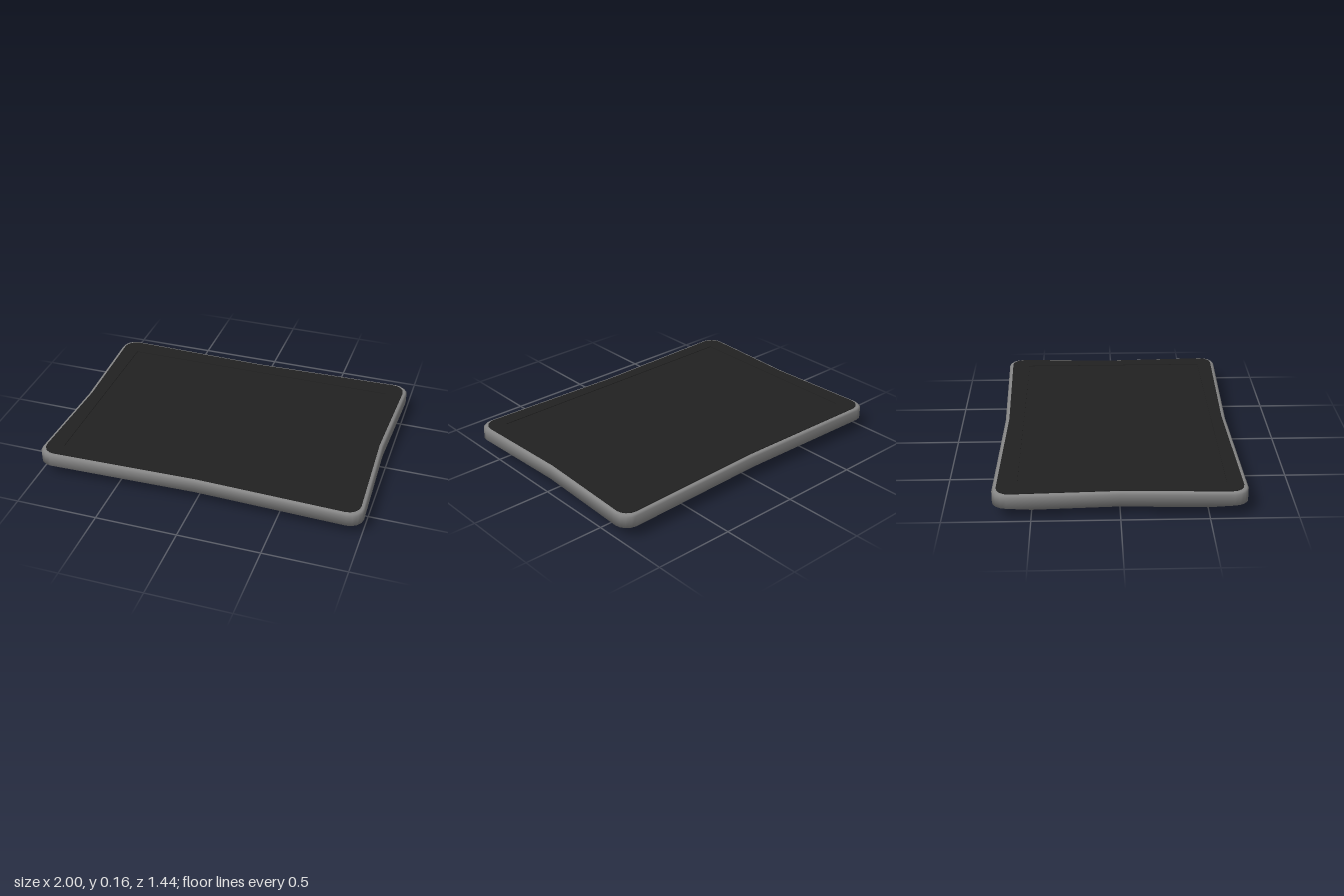
import * as THREE from 'three';

const HX = 1, HZ = 0.718;

// Rounded rectangle whose four sides pinch inward at the middle, as [x, z] points
function outline(hx, hz, r, pinch) {
  const pts = [];
  const signs = [[1, 1], [-1, 1], [-1, -1], [1, -1]];
  signs.forEach(([sx, sz], q) => {
    for (let i = 0; i <= 4; i++) {
      const a = (q + i / 4) * Math.PI / 2;
      pts.push([sx * (hx - r) + r * Math.cos(a), sz * (hz - r) + r * Math.sin(a)]);
    }
    // Middle of the side that follows this corner
    const mids = [[0, hz - pinch], [-hx + pinch, 0], [0, -hz + pinch], [hx - pinch, 0]];
    pts.push(mids[q]);
  });
  return pts;
}

// Smooth skin through stacked outlines, closed underneath
function shellGeometry(rings) {
  const n = rings[0].pts.length, pos = [], index = [];
  for (const { y, pts } of rings) for (const [x, z] of pts) pos.push(x, y, z);
  for (let k = 0; k < rings.length - 1; k++) {
    for (let i = 0; i < n; i++) {
      const a = k * n + i, b = k * n + (i + 1) % n;
      index.push(a, a + n, b, b, a + n, b + n);
    }
  }
  const centre = pos.length / 3;
  pos.push(0, rings[0].y, 0);
  for (let i = 0; i < n; i++) index.push(centre, i, (i + 1) % n);
  const g = new THREE.BufferGeometry();
  g.setAttribute('position', new THREE.Float32BufferAttribute(pos, 3));
  g.setIndex(index);
  g.computeVertexNormals();
  return g;
}

export function createModel() {
  const group = new THREE.Group();
  const material = (name, color) => {
    const m = new THREE.MeshStandardMaterial({ color });
    m.name = name;
    return m;
  };
  const silver = material('silver casing', 0x858585);
  const black = material('black glass', 0x212121);
  const lensBlack = material('lens black', 0x0c0c0c);
  const add = (name, geometry, mat) => {
    const mesh = new THREE.Mesh(geometry, mat);
    mesh.name = name;
    group.add(mesh);
    return mesh;
  };

  // Casing: sloped underside, upright edge, softened rim: [y, inset, corner radius]
  const profile = [
    [0, 0.125, 0.09], [0.08, 0, 0.085], [0.145, 0, 0.085],
    [0.156, 0.01, 0.08], [0.157, 0.035, 0.07],
  ];
  add('casing', shellGeometry(profile.map(([y, inset, r]) => ({
    y, pts: outline(HX - inset, HZ - inset, r, 0.024),
  }))), silver);

  // Glass bezel with the display opening
  const screen = { x: 0.87, back: -0.578, front: 0.6 };
  const bezelShape = new THREE.Shape(
    outline(HX - 0.024, HZ - 0.024, 0.075, 0.024).map(([x, z]) => new THREE.Vector2(x, z)));
  bezelShape.holes.push(new THREE.Path([
    new THREE.Vector2(-screen.x, -screen.front), new THREE.Vector2(-screen.x, -screen.back),
    new THREE.Vector2(screen.x, -screen.back), new THREE.Vector2(screen.x, -screen.front),
  ]));
  const bezel = new THREE.ExtrudeGeometry(bezelShape, { depth: 0.006, bevelEnabled: false });
  bezel.rotateX(-Math.PI / 2).translate(0, 0.155, 0);
  add('bezel', bezel, black);

  // Display, set slightly below the bezel
  const display = new THREE.PlaneGeometry(screen.x * 2, screen.front - screen.back);
  display.rotateX(-Math.PI / 2).translate(0, 0.157, (screen.front + screen.back) / 2);
  add('display', display, black);

  // Camera lens on the underside
  const lens = new THREE.CircleGeometry(0.02, 16);
  lens.rotateX(Math.PI / 2).translate(0, -0.0015, 0.545);
  add('cameraLens', lens, lensBlack);

  return group;
}
